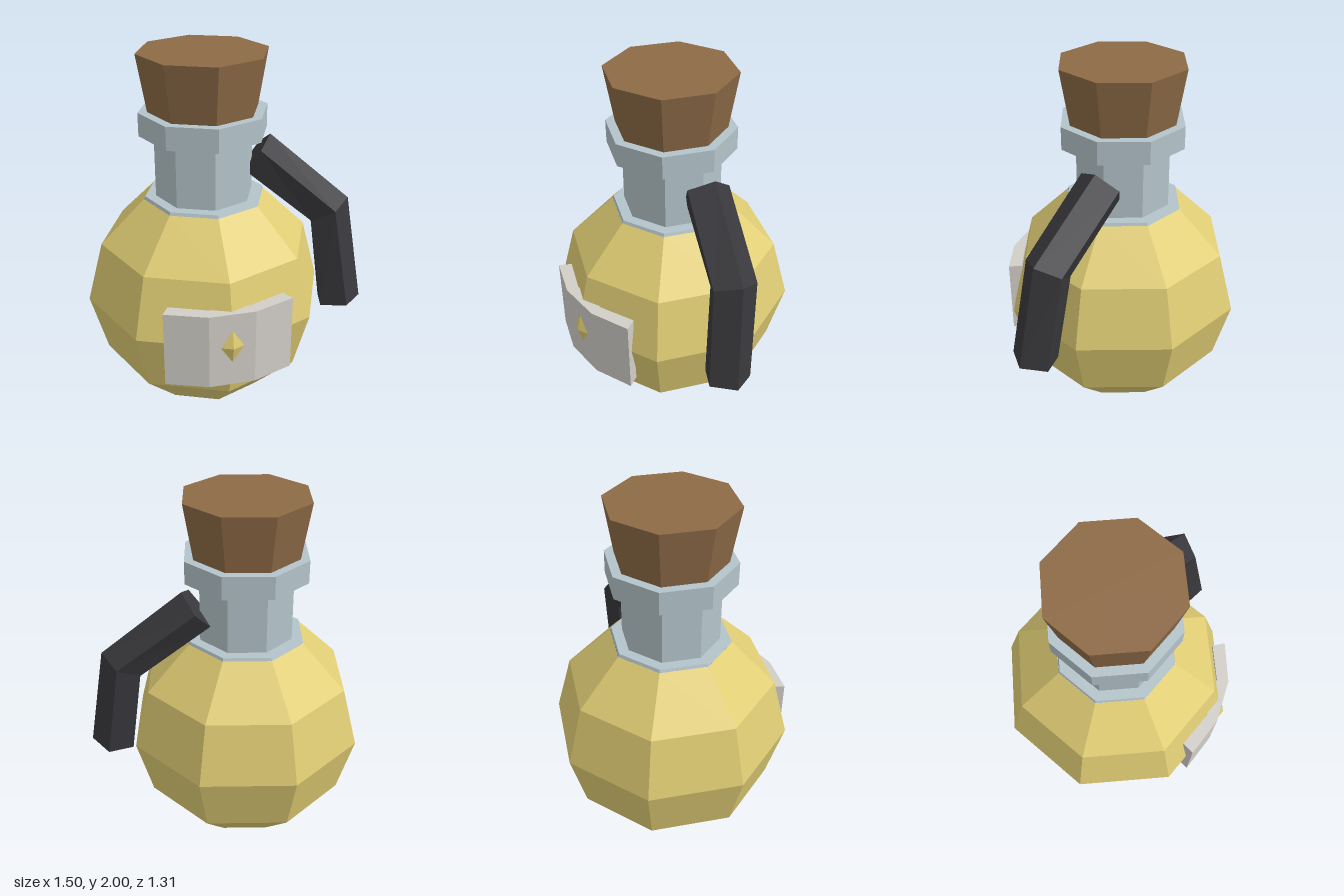
import * as THREE from 'three';

const AXIS_X = -0.095;

function part(name, geometry, color) {
  const material = new THREE.MeshStandardMaterial({ color, flatShading: true });
  const mesh = new THREE.Mesh(geometry, material);
  mesh.name = name;
  return mesh;
}

// Eight-sided turned part; profile runs from bottom to top as [radius, y]
function turned(name, profile, color) {
  const geometry = new THREE.LatheGeometry(profile.map(([r, y]) => new THREE.Vector2(r, y)), 8);
  geometry.translate(AXIS_X, 0, 0);
  return part(name, geometry, color);
}

// Closed prism following a bent path, with a mitred ring at each point
function bentPrism(points, out, radius, sides) {
  const pos = [], index = [];
  const unit = (a, b) => b.clone().sub(a).normalize();
  const last = points.length - 1;
  points.forEach((p, i) => {
    const t = new THREE.Vector3();
    if (i > 0) t.add(unit(points[i - 1], p));
    if (i < last) t.add(unit(p, points[i + 1]));
    t.normalize();
    const u = out[i].clone().addScaledVector(t, -out[i].dot(t)).normalize();
    const v = t.clone().cross(u);
    for (let j = 0; j < sides; j++) {
      const a = (j / sides) * Math.PI * 2;
      const q = p.clone().addScaledVector(u, radius * Math.cos(a)).addScaledVector(v, radius * Math.sin(a));
      pos.push(q.x, q.y, q.z);
    }
  });
  for (let i = 0; i < last; i++) {
    for (let j = 0; j < sides; j++) {
      const a = i * sides + j, b = i * sides + (j + 1) % sides;
      index.push(a, b, b + sides, a, b + sides, a + sides);
    }
  }
  const end = last * sides;
  for (let j = 1; j < sides - 1; j++) {
    index.push(0, j + 1, j, end, end + j, end + j + 1);
  }
  const geometry = new THREE.BufferGeometry();
  geometry.setAttribute('position', new THREE.Float32BufferAttribute(pos, 3));
  geometry.setIndex(index);
  geometry.computeVertexNormals();
  return geometry;
}

export function createModel() {
  const group = new THREE.Group();
  group.name = 'bottle';

  // Round body: a coarse sphere open at the shoulder
  const body = [];
  for (let i = 0; i <= 5; i++) {
    const a = (i / 6) * Math.PI;
    body.push([0.655 * Math.sin(a), 0.66 - 0.655 * Math.cos(a)]);
  }
  group.add(turned('body', body, 0xe0cd74));

  // Glass shoulder, neck and lip
  group.add(turned('neck', [
    [0.327, 1.227], [0.32, 1.243], [0.262, 1.243], [0.262, 1.58],
    [0.34, 1.58], [0.34, 1.703], [0, 1.703],
  ], 0xb4c4ca));

  // Flared cork
  group.add(turned('cork', [[0, 1.7], [0.29, 1.7], [0.34, 2], [0, 2]], 0x8d6a46));

  // Bent handle with five sides
  const V = (x, y, z) => new THREE.Vector3(x, y, z);
  group.add(part('handle', bentPrism(
    [V(0.185, 1.44, 0), V(0.56, 1.13, 0.135), V(0.625, 0.593, 0.205)],
    [V(0.065, 0.105, 0), V(0.105, 0.06, 0.025), V(0.125, 0.01, 0.03)],
    0.125, 5), 0x39383c));

  // Curved label wrapped round the front
  const outline = [
    [-0.43, 0.55], [-0.215, 0.63], [0.025, 0.63], [0.24, 0.55],
    [0.205, 0.488], [0.015, 0.565], [-0.205, 0.565], [-0.395, 0.488],
  ];
  const shape = new THREE.Shape(outline.map(([x, z]) => new THREE.Vector2(x, z)));
  const label = new THREE.ExtrudeGeometry(shape, { depth: 0.42, bevelEnabled: false });
  label.rotateX(Math.PI / 2).translate(0, 0.85, 0);
  group.add(part('label', label, 0xd2cec8));

  return group;
}
